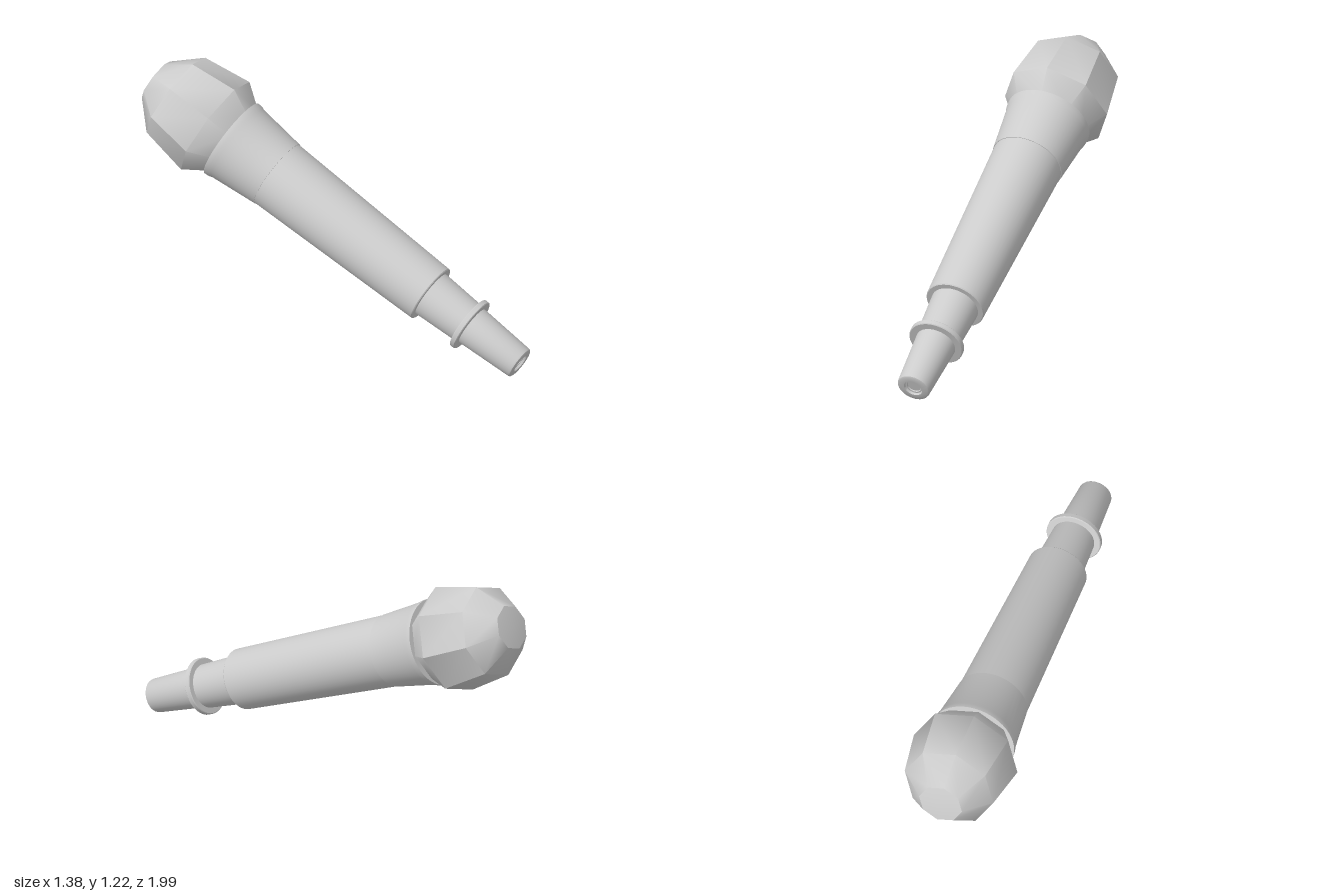
import * as THREE from 'three';
import { toCreasedNormals } from 'three/addons/utils/BufferGeometryUtils.js';

// Profiles are [radius, distance along the axis from the small tip].
function turned(name, profile, sides, crease) {
  const points = profile.map(([r, t]) => new THREE.Vector2(r, t));
  const geometry = toCreasedNormals(new THREE.LatheGeometry(points, sides), crease);
  const mesh = new THREE.Mesh(geometry, new THREE.MeshStandardMaterial({ color: 0xcccccc }));
  mesh.name = name;
  return mesh;
}

export function createModel() {
  const model = new THREE.Group();
  model.name = 'taperedClub';
  const ROUND = 48;

  // Tapered tip with a rounded rim and a shallow socket
  model.add(turned('tip', [
    [0, 0.018], [0.036, 0.018], [0.038, 0.012], [0.046, 0.012], [0.05, 0],
    [0.078, 0], [0.085, 0.004], [0.088, 0.012], [0.108, 0.335], [0, 0.335],
  ], ROUND, 0.6));

  // Thin flange around the stem
  model.add(turned('flange', [
    [0, 0.32], [0.143, 0.32], [0.147, 0.324], [0.147, 0.346], [0.143, 0.35], [0, 0.35],
  ], ROUND, 0.6));

  // Stem between the flange and the handle
  model.add(turned('stem', [
    [0, 0.34], [0.113, 0.34], [0.128, 0.6], [0, 0.6],
  ], ROUND, 0.6));

  // Long handle, slightly wider towards the head
  model.add(turned('handle', [
    [0, 0.591], [0.154, 0.591], [0.158, 0.596], [0.187, 1.612], [0, 1.612],
  ], ROUND, 0.6));

  // Collar with a narrow rim under the head
  model.add(turned('collar', [
    [0, 1.61], [0.19, 1.61], [0.218, 1.87], [0.224, 1.885], [0.226, 1.912], [0, 1.912],
  ], ROUND, 0.6));

  // Eight-sided domed head
  model.add(turned('head', [
    [0, 1.89], [0.195, 1.89], [0.285, 2.02], [0.244, 2.28], [0.118, 2.412], [0, 2.425],
  ], 8, 0.72));

  // Lean the whole piece from its tip, with one head edge facing up
  const axis = new THREE.Vector3(-0.484, 0.406, -0.775).normalize();
  const up = new THREE.Vector3(0, 1, 0).addScaledVector(axis, -axis.y).normalize();
  const side = new THREE.Vector3().crossVectors(axis, up);
  model.quaternion.setFromRotationMatrix(new THREE.Matrix4().makeBasis(side, axis, up));
  model.position.set(0.617, 0.081, 0.945);

  const root = new THREE.Group();
  root.name = 'model';
  root.add(model);
  return root;
}
